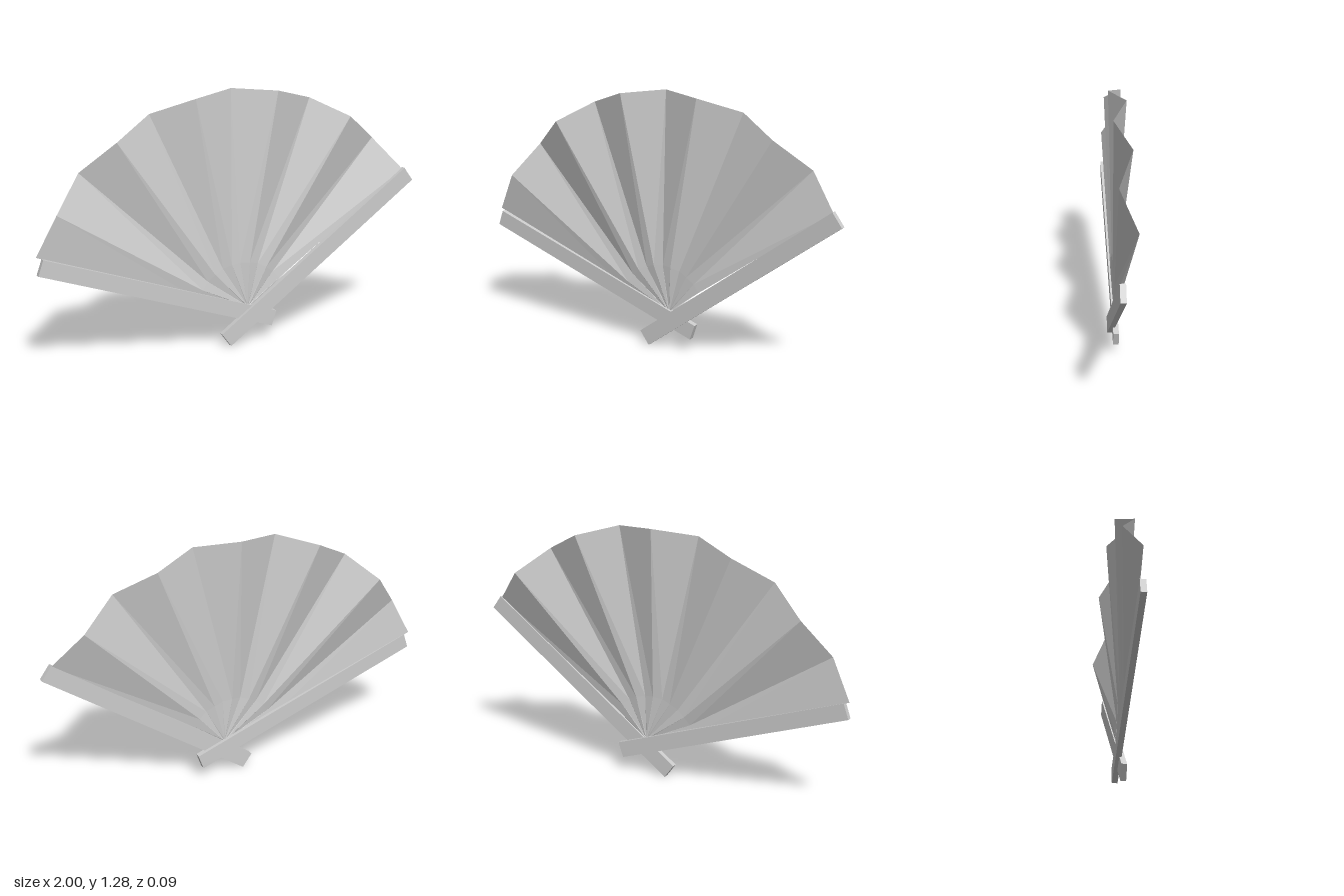
import * as THREE from 'three';

const material = new THREE.MeshStandardMaterial({ color: 0xcccccc, flatShading: true });
const leafMaterial = new THREE.MeshStandardMaterial({ color: 0xcccccc, flatShading: true, side: THREE.DoubleSide });

const PLEATS = 11;
const START = THREE.MathUtils.degToRad(159);
const STEP = THREE.MathUtils.degToRad(11.25);

// Pleated leaf: each fold line runs hub -> kink -> rim, folds alternating front and back
function makeLeaf() {
  const rings = [
    { x: 0.072, y: 0.185, r: 0.015, front: 0.02, back: 0.018, first: 0.018 },
    { x: 0.04, y: 0.17, r: 0.25, front: 0.022, back: 0.014, first: 0.015 },
    { x: 0.04, y: 0.17, r: 1.113, front: 0.029, back: -0.047, first: 0.004 },
  ];
  const positions = [];
  const indices = [];
  for (let k = 0; k <= PLEATS; k++) {
    const a = START - k * STEP;
    for (const ring of rings) {
      const z = k === 0 ? ring.first : k % 2 ? ring.front : ring.back;
      positions.push(ring.x + ring.r * Math.cos(a), ring.y + ring.r * Math.sin(a), z);
    }
  }
  const n = rings.length;
  for (let k = 0; k < PLEATS; k++) {
    for (let j = 0; j < n - 1; j++) {
      const p = k * n + j;
      const q = p + n;
      indices.push(p, q, q + 1, p, q + 1, p + 1);
    }
  }
  const geometry = new THREE.BufferGeometry();
  geometry.setAttribute('position', new THREE.Float32BufferAttribute(positions, 3));
  geometry.setIndex(indices);
  const flat = geometry.toNonIndexed();
  flat.computeVertexNormals();
  const mesh = new THREE.Mesh(flat, leafMaterial);
  mesh.name = 'pleatedLeaf';
  return mesh;
}

// Flat guard stick
function makeGuard(name, length, width, depth, center, degrees) {
  const mesh = new THREE.Mesh(new THREE.BoxGeometry(length, width, depth), material);
  mesh.name = name;
  mesh.position.set(...center);
  mesh.rotation.z = THREE.MathUtils.degToRad(degrees);
  return mesh;
}

export function createModel() {
  const group = new THREE.Group();
  group.name = 'foldingFan';
  group.add(
    makeLeaf(),
    makeGuard('leftGuard', 1.277, 0.083, 0.027, [0.46, 0.411, 0.033], 36.2),
    makeGuard('rightGuard', 1.27, 0.08, 0.028, [-0.385, 0.315, 0.016], -19.1),
  );
  return group;
}
